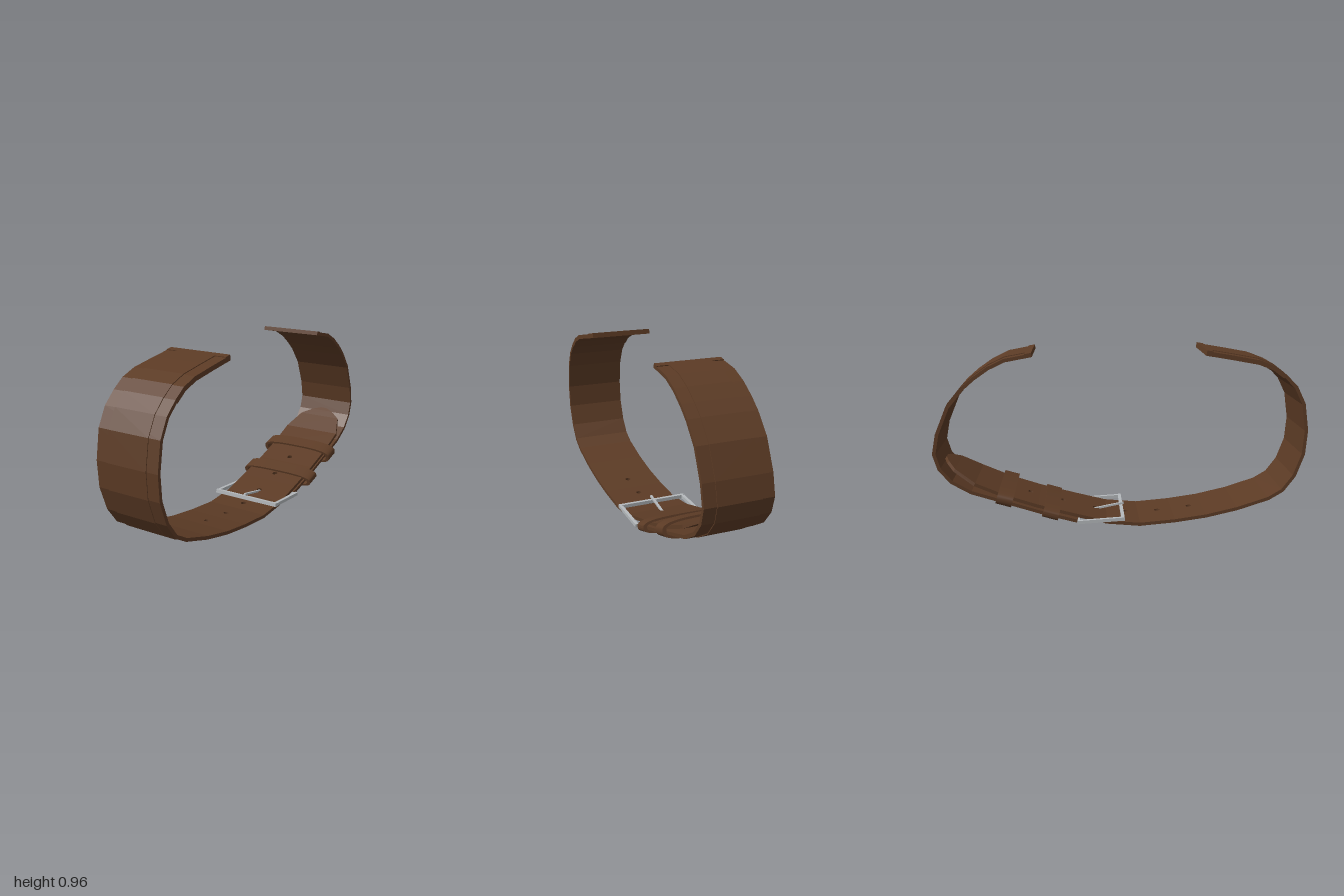
import * as THREE from 'three';
import { mergeGeometries, toCreasedNormals } from 'three/addons/utils/BufferGeometryUtils.js';

const HALF = 0.175;

// Band centre lines as [z, y, half width], both starting at the upper free end
const longPath = [
  [0.44, 0.951], [0.58, 0.927], [0.72, 0.901], [0.80, 0.87], [0.86, 0.825], [0.92, 0.765], [0.965, 0.675],
  [0.987, 0.53], [0.978, 0.40], [0.935, 0.28], [0.875, 0.198], [0.80, 0.153], [0.63, 0.098],
  [0.46, 0.059], [0.29, 0.035], [0.10, 0.019], [-0.08, 0.036], [-0.25, 0.08], [-0.45, 0.135],
  [-0.62, 0.192], [-0.78, 0.262], [-0.89, 0.33, 0.13], [-0.93, 0.357, 0.07], [-0.95, 0.37, 0.02],
];
const shortPath = [
  [-0.46, 0.946], [-0.60, 0.92], [-0.685, 0.88], [-0.76, 0.828], [-0.82, 0.776], [-0.90, 0.68], [-0.962, 0.535],
  [-0.983, 0.43], [-0.96, 0.35], [-0.90, 0.277], [-0.80, 0.218], [-0.62, 0.16], [-0.42, 0.095], [-0.24, 0.045],
];
const holesAt = [0.39, 0.21, 0.03, -0.14, -0.32, -0.5];

// Bends a flat strip along a path; t0..t1 is its thickness range along the normal
function band(path, t0, t1, width = HALF, holes = []) {
  const pts = path.map(([z, y]) => new THREE.Vector2(z, y));
  const dirs = pts.slice(1).map((p, i) => p.clone().sub(pts[i]).normalize());
  const normals = pts.map((p, i) => {
    const a = dirs[Math.max(i - 1, 0)], b = dirs[Math.min(i, dirs.length - 1)];
    const d = a.clone().add(b).normalize();
    return new THREE.Vector2(d.y, -d.x).divideScalar(d.dot(a));
  });
  const parts = [];
  for (let i = 0; i < pts.length - 1; i++) {
    const a = pts[i], b = pts[i + 1], len = a.distanceTo(b);
    const w0 = path[i][2] ?? width, w1 = path[i + 1][2] ?? width;
    const shape = new THREE.Shape([
      new THREE.Vector2(-w0, 0), new THREE.Vector2(w0, 0),
      new THREE.Vector2(w1, len), new THREE.Vector2(-w1, len),
    ]);
    for (const z of holes) {
      const f = (z - a.x) / (b.x - a.x);
      if (f > 0 && f < 1 && a.y < 0.2) {
        shape.holes.push(new THREE.Path().absarc(0, f * len, 0.015, 0, Math.PI * 2, true));
      }
    }
    const geo = new THREE.ExtrudeGeometry(shape, { depth: t1 - t0, bevelEnabled: false, curveSegments: 10 });
    const pos = geo.attributes.position;
    for (let k = 0; k < pos.count; k++) {
      const f = pos.getY(k) / len, t = t0 + pos.getZ(k);
      const c = a.clone().lerp(b, f).addScaledVector(normals[i].clone().lerp(normals[i + 1], f), t);
      pos.setXYZ(k, pos.getX(k), c.y, c.x);
    }
    geo.computeVertexNormals();
    parts.push(geo);
  }
  return mergeGeometries(parts);
}

// Flattened ring outline used for the keeper loops
function ringPoints(rx, ry) {
  return Array.from({ length: 48 }, (_, i) => {
    const a = (i / 48) * Math.PI * 2, c = Math.cos(a), s = Math.sin(a);
    return new THREE.Vector2(rx * Math.sign(c) * Math.abs(c) ** 0.7, ry * Math.sign(s) * Math.abs(s) ** 0.7);
  });
}

export function createModel() {
  const leather = new THREE.MeshStandardMaterial({ color: 0x5c3b25 });
  leather.name = 'brown leather';
  const metal = new THREE.MeshStandardMaterial({ color: 0xb4b8bb });
  metal.name = 'silver metal';

  const model = new THREE.Group();
  model.name = 'strap';
  const add = (name, geo, mat, parent = model) => {
    const mesh = new THREE.Mesh(geo, mat);
    mesh.name = name;
    parent.add(mesh);
    return mesh;
  };

  // Long band with punched holes, a raised centre on the outside and a lined end
  add('longBand', band(longPath, -0.009, 0.009, HALF, holesAt), leather);
  add('longBandPad', band(longPath.slice(0, 16), -0.013, -0.009, 0.112, holesAt), leather);
  add('longBandLining', band(longPath.slice(0, 5), 0.009, 0.015), leather);
  add('longBandEndTab', band([longPath[0], [0.475, 0.945]], -0.013, -0.009), leather);

  // Short band, outside is on the positive normal
  add('shortBand', band(shortPath, -0.009, 0.009), leather);
  add('shortBandPad', band(shortPath, 0.009, 0.013, 0.112), leather);
  add('shortBandEndTab', band([shortPath[0], [-0.495, 0.9395]], 0.009, 0.013), leather);

  // Keeper loops around both bands
  for (const [name, y, z, ry] of [['frontKeeper', 0.099, -0.38, 0.041], ['backKeeper', 0.183, -0.622, 0.05]]) {
    const shape = new THREE.Shape(ringPoints(0.225, ry));
    shape.holes.push(new THREE.Path(ringPoints(0.205, ry - 0.011)));
    const geo = new THREE.ExtrudeGeometry(shape, { depth: 0.085, bevelEnabled: false });
    geo.translate(0, 0, -0.0425);
    const loop = add(name, toCreasedNormals(geo, 0.6), leather);
    loop.position.set(0, y, z);
    loop.rotation.x = 0.29;
  }

  // Buckle frame with hinge bar and tongue
  const buckle = new THREE.Group();
  buckle.name = 'buckle';
  buckle.position.set(0, 0.052, -0.112);
  buckle.rotation.x = -0.06;
  model.add(buckle);
  for (const side of [-1, 1]) {
    add('buckleSide', new THREE.BoxGeometry(0.018, 0.018, 0.256), metal, buckle).position.x = side * 0.189;
  }
  add('buckleFrontBar', new THREE.BoxGeometry(0.396, 0.02, 0.018), metal, buckle).position.z = 0.119;
  add('buckleHingeBar', new THREE.BoxGeometry(0.37, 0.012, 0.012), metal, buckle).position.z = -0.12;
  const tongue = add('buckleTongue', new THREE.BoxGeometry(0.013, 0.01, 0.17), metal);
  tongue.position.set(0, 0.068, -0.062);
  tongue.rotation.x = -0.19;

  // Slight lean of the whole strap
  model.rotation.z = -0.013;
  model.position.set(-0.006, 0.002, 0);
  const root = new THREE.Group();
  root.name = 'wristStrap';
  root.add(model);
  return root;
}
